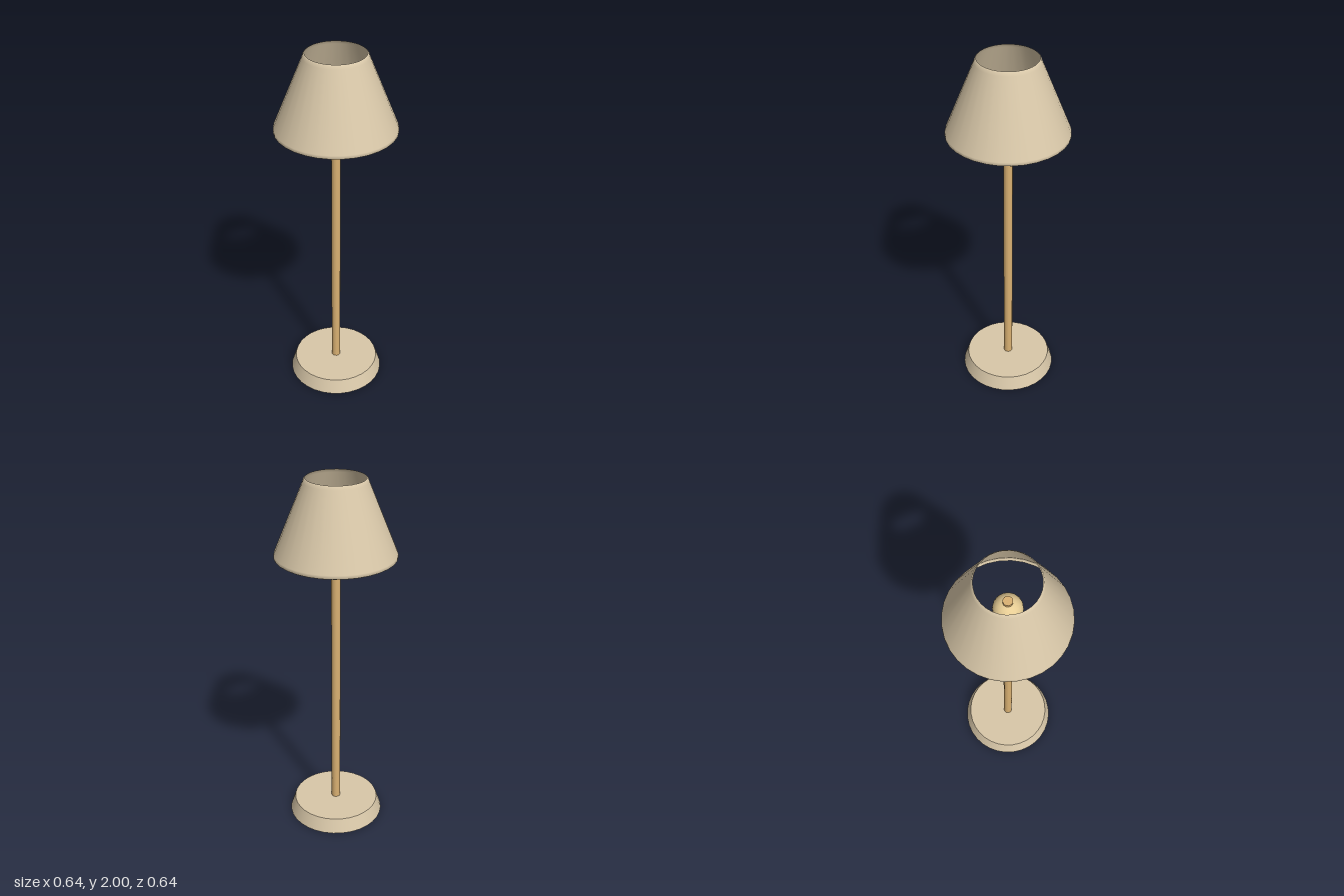
import * as THREE from 'three';

const linen = new THREE.MeshStandardMaterial({ color: 0xd9c8a9, side: THREE.DoubleSide });
linen.name = 'linen';
const wood = new THREE.MeshStandardMaterial({ color: 0xdbb273 });
wood.name = 'wood';
const warmGlass = new THREE.MeshStandardMaterial({ color: 0xf8dca0 });
warmGlass.name = 'warm glass';

export function createModel() {
  const lamp = new THREE.Group();
  lamp.name = 'tableLamp';

  const add = (name, geometry, material, y = 0) => {
    const mesh = new THREE.Mesh(geometry, material);
    mesh.name = name;
    mesh.position.y = y;
    lamp.add(mesh);
  };

  // Tapered foot
  add('base', new THREE.CylinderGeometry(0.24, 0.267, 0.08, 32), linen, 0.04);

  // Slim pole, its tip just showing above the bulb
  add('pole', new THREE.CylinderGeometry(0.025, 0.025, 1.74, 12), wood, 0.93);

  // Round bulb hidden inside the shade
  add('bulb', new THREE.SphereGeometry(0.075, 16, 12), warmGlass, 1.715);

  // Open thin shade with softly turned-in rims
  const profile = [
    [0.315, 1.583], [0.322, 1.588], [0.321, 1.605],
    [0.167, 1.98], [0.163, 1.993], [0.155, 2.0],
  ].map(([r, y]) => new THREE.Vector2(r, y));
  add('shade', new THREE.LatheGeometry(profile, 32), linen);

  return lamp;
}
